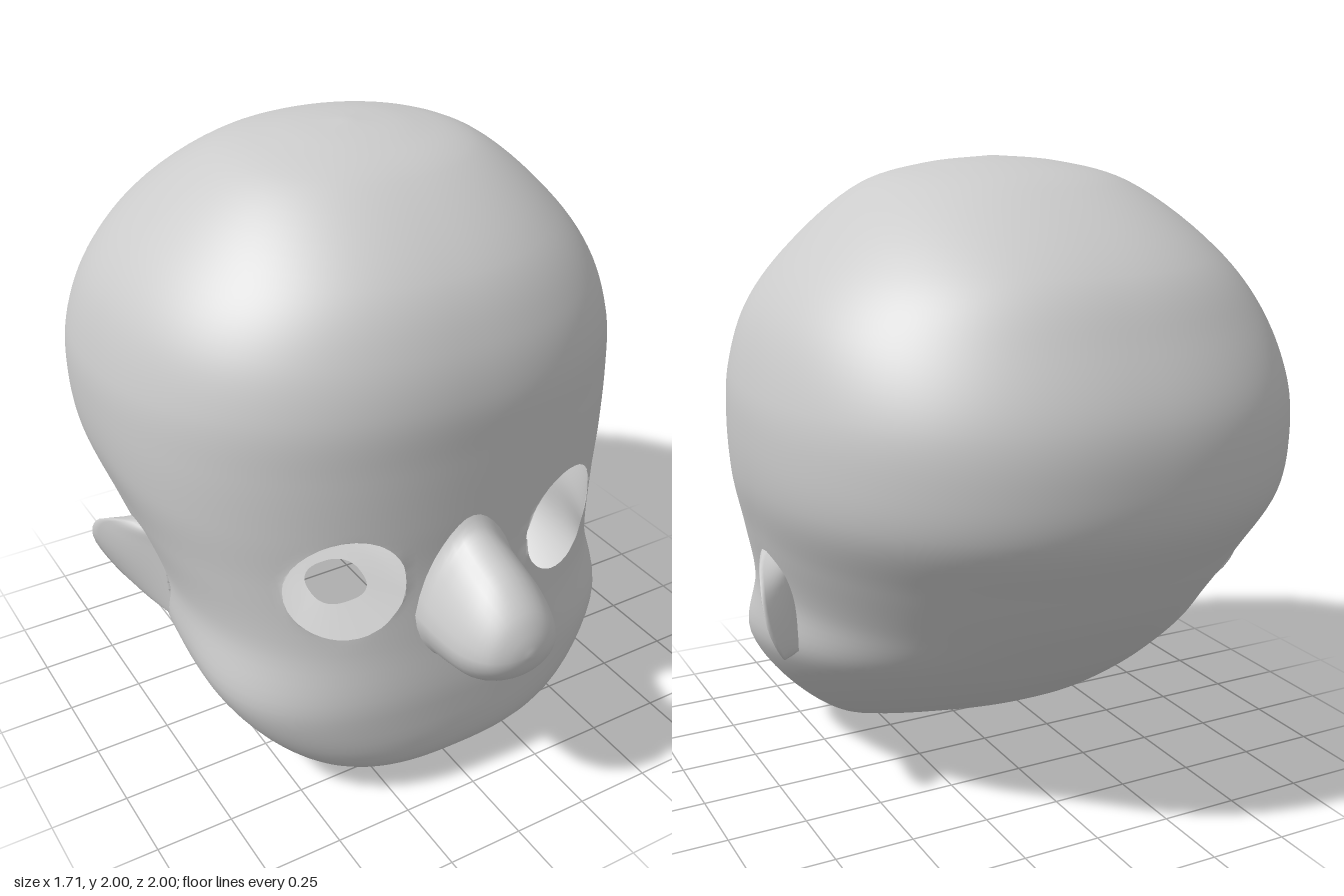
import * as THREE from 'three';
import { mergeVertices } from 'three/addons/utils/BufferGeometryUtils.js';

const material = new THREE.MeshStandardMaterial({ color: 0xcccccc, side: THREE.DoubleSide });

// Skull rings, crown to neck hole: front z, y | side x, y, z | back z, y
const RINGS = [
  [-0.05, 2.0, 0, 2.0, -0.05, -0.05, 2.0],
  [0.13, 1.975, 0.21, 1.98, -0.05, -0.25, 1.98],
  [0.30, 1.915, 0.41, 1.925, -0.06, -0.46, 1.92],
  [0.55, 1.71, 0.64, 1.75, -0.10, -0.78, 1.71],
  [0.645, 1.54, 0.78, 1.57, -0.12, -0.90, 1.53],
  [0.685, 1.38, 0.845, 1.36, -0.14, -0.985, 1.34],
  [0.685, 1.20, 0.855, 1.22, -0.14, -1.0, 1.18],
  [0.68, 1.00, 0.84, 1.05, -0.12, -0.975, 1.02],
  [0.675, 0.83, 0.785, 0.86, -0.02, -0.86, 0.84],
  [0.69, 0.60, 0.73, 0.66, 0.08, -0.75, 0.69],
  [0.71, 0.36, 0.72, 0.42, 0.24, -0.62, 0.55],
  [0.68, 0.13, 0.57, 0.21, 0.25, -0.50, 0.43],
  [0.50, 0.005, 0.42, 0.125, 0.17, -0.40, 0.35],
  [0.20, 0.125, 0.26, 0.19, -0.02, -0.31, 0.285],
  [-0.05, 0.215, 0.11, 0.24, -0.15, -0.25, 0.265],
];

const EYE = { x: 0.39, y: 0.83, r: 0.172 };

const curveThrough = points => new THREE.CatmullRomCurve3(points.map(p => new THREE.Vector3(...p)));

// Closed-loop grid: point(t, angle) gives each vertex, keep() can drop faces
function gridGeometry(rows, cols, point, keep = () => true, adjust = () => {}) {
  const points = [], index = [];
  for (let i = 0; i <= rows; i++)
    for (let j = 0; j < cols; j++) points.push(point(i / rows, (j / cols) * Math.PI * 2));
  for (let i = 0; i < rows; i++)
    for (let j = 0; j < cols; j++) {
      const a = i * cols + j, b = i * cols + (j + 1) % cols;
      for (const tri of [[a, a + cols, b], [b, a + cols, b + cols]])
        if (keep(tri.map(k => points[k]))) index.push(...tri);
    }
  points.forEach(adjust);
  let geometry = new THREE.BufferGeometry().setFromPoints(points);
  geometry.setIndex(index);
  geometry = mergeVertices(geometry, 1e-5);
  geometry.computeVertexNormals();
  return geometry;
}

// Hollow head with round eye openings and a small neck opening
function headGeometry() {
  const front = curveThrough(RINGS.map(r => [0, r[1], r[0]]));
  const side = curveThrough(RINGS.map(r => [r[2], r[3], r[4]]));
  const back = curveThrough(RINGS.map(r => [0, r[6], r[5]]));
  // Rings are rounder at the crown and squarer at the face
  const point = (t, angle) => {
    const s = Math.sin(angle), c = Math.cos(angle);
    const mid = side.getPoint(t), end = (c > 0 ? front : back).getPoint(t);
    const p = 2 / (2.1 + t * (c > 0 ? 0.55 : 0.3));
    const w = Math.abs(c) ** p;
    return new THREE.Vector3(
      mid.x * Math.sign(s) * Math.abs(s) ** p,
      mid.y + (end.y - mid.y) * w,
      mid.z + (end.z - mid.z) * w);
  };
  const eyeDistance = v => v.z < 0.3 ? 9 : Math.hypot(Math.abs(v.x) - EYE.x, v.y - EYE.y);
  // Pull the rim vertices of each opening out onto a clean circle
  const snap = v => {
    const d = eyeDistance(v);
    if (d >= EYE.r || d < 1e-4) return;
    const k = EYE.r / d, dx = (Math.abs(v.x) - EYE.x) * (k - 1);
    v.x += Math.sign(v.x) * dx;
    v.y = EYE.y + (v.y - EYE.y) * k;
    v.z -= 0.38 * dx;
  };
  return gridGeometry(98, 144, point, tri => tri.some(v => eyeDistance(v) >= EYE.r), snap);
}

// Bulbous nose lofted back to the face: z, bottom y, top y, half width
function noseGeometry() {
  const sections = [
    [1.0, 0.70, 0.70, 0], [0.985, 0.64, 0.76, 0.07], [0.95, 0.59, 0.82, 0.125],
    [0.87, 0.535, 0.885, 0.165], [0.76, 0.51, 0.935, 0.182], [0.70, 0.495, 0.97, 0.185],
    [0.655, 0.46, 1.05, 0.195],
  ];
  const low = curveThrough(sections.map(s => [s[3], s[1], s[0]]));
  const high = curveThrough(sections.map(s => [s[3], s[2], s[0]]));
  return gridGeometry(24, 32, (t, angle) => {
    const a = low.getPoint(t), b = high.getPoint(t);
    const up = Math.sin(angle), mid = a.y + (b.y - a.y) * 0.42;
    const taper = 1 - 0.35 * t * Math.max(up, 0);
    return new THREE.Vector3(
      a.x * Math.cos(angle) * taper,
      mid + (up > 0 ? b.y - mid : mid - a.y) * up,
      (a.z + b.z) / 2);
  });
}

// Ear flap: a face sweeping back from the cheek to the rim, hollowed behind
function earGeometry(s) {
  const rim = curveThrough([
    [0.70, 0.835, 0.0], [0.79, 0.825, -0.06], [0.85, 0.76, -0.21],
    [0.85, 0.66, -0.26], [0.78, 0.525, -0.19], [0.70, 0.505, 0.06],
  ]);
  return gridGeometry(24, 24, (t, angle) => {
    const edge = rim.getPoint(t);
    const w = (s > 0 ? angle : Math.PI * 2 - angle) / Math.PI;
    const outer = w <= 1, k = outer ? w : 2 - w;
    const rootZ = outer ? 0.13 : -0.1;
    const bulge = (outer ? 0.02 : -0.015) * Math.sin(Math.PI * k) * Math.sin(Math.PI * t);
    return new THREE.Vector3(
      s * (0.7 + (edge.x - 0.7) * k + bulge),
      edge.y,
      rootZ + (edge.z - rootZ) * k);
  });
}

function add(group, name, geometry) {
  const mesh = new THREE.Mesh(geometry, material);
  mesh.name = name;
  group.add(mesh);
}

export function createModel() {
  const group = new THREE.Group();
  group.name = 'head';
  add(group, 'skull', headGeometry());
  add(group, 'nose', noseGeometry());
  add(group, 'leftEar', earGeometry(1));
  add(group, 'rightEar', earGeometry(-1));
  return group;
}
